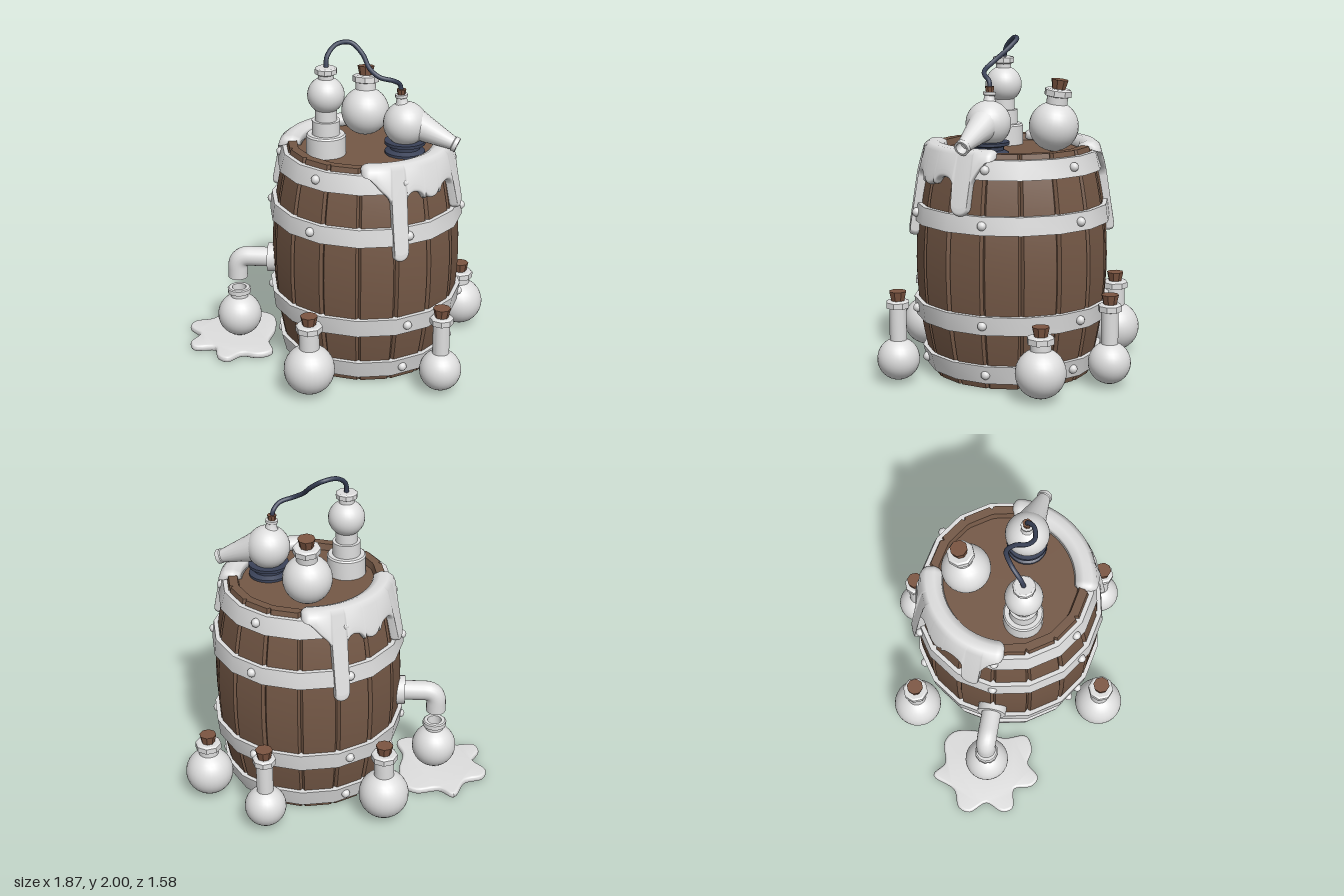
import * as THREE from 'three';
import { toCreasedNormals } from 'three/addons/utils/BufferGeometryUtils.js';

const mat = (name, color, side = THREE.FrontSide) => {
  const m = new THREE.MeshStandardMaterial({ color, side });
  m.name = name;
  return m;
};
const V2 = (p) => new THREE.Vector2(p[0], p[1]);
const V3 = (p) => new THREE.Vector3(p[0], p[1], p[2]);
const RAD = Math.PI / 180;
const STAVES = 16;
const HEIGHT = 1.37;

// Barrel radius at height y
const bulge = (y) => 0.572 - 0.1 * ((y - HEIGHT / 2) / (HEIGHT / 2)) ** 2;

// Turned shape from a bottom-to-top profile, with sharp edges kept
const turned = (points, sides) => toCreasedNormals(new THREE.LatheGeometry(points.map(V2), sides), 0.6);

// Barrel body: the sides are pinched into a groove between staves
function barrelGeometry() {
  const profile = [[0, 0.045], [0.41, 0.045], [0.42, 0]];
  for (let i = 0; i <= 14; i++) {
    const y = (HEIGHT * i) / 14;
    profile.push([bulge(y), y]);
  }
  profile.push([0.42, HEIGHT], [0.41, 1.33], [0, 1.33]);
  const geo = new THREE.LatheGeometry(profile.map(V2), STAVES * 3);
  const pos = geo.attributes.position;
  const step = (2 * Math.PI) / STAVES;
  for (let i = 0; i < pos.count; i++) {
    const column = Math.floor(i / profile.length);
    const [r0, y] = profile[i % profile.length];
    const stave = Math.floor(column / 3), k = column % 3;
    const angle = stave * step + [0, 0.07, 0.93][k] * step;
    const r = k === 0 && r0 > 0.43 ? r0 - 0.018 : r0;
    pos.setXYZ(i, r * Math.sin(angle), y, r * Math.cos(angle));
  }
  return toCreasedNormals(geo, 0.45);
}

// Lower edge of the spill at an angle in degrees
const SPILL = 97;
const DRIPS = [[24, 4.6, 0.83], [48, 6, 1.17], [76, 5.5, 1.02]];
function spillEdge(deg) {
  const base = 1.36 - 0.13 * THREE.MathUtils.smoothstep(Math.min(deg, SPILL - deg), 0, 18);
  let low = base;
  for (const [centre, half, tip] of DRIPS) {
    const a = Math.abs(deg - centre) / half;
    const y = a < 1 ? tip + 0.05 * (1 - Math.sqrt(1 - a * a)) : base - 0.06 * Math.exp((1 - a) * 2.5);
    low = Math.min(low, y);
  }
  return low;
}

// Spill over the rim: closed cross-sections swept around the barrel
function spillGeometry() {
  const columns = 130, rows = 14, verts = [], index = [];
  let n = 0;
  for (let i = 0; i <= columns; i++) {
    const deg = (SPILL * i) / columns, low = spillEdge(deg);
    const loop = [[0.39, 1.335], [0.4, 1.375], [0.44, 1.393], [0.49, 1.388], [0.52, 1.365]];
    const start = Math.min(1.33, low + 0.05);
    for (let j = 0; j <= rows; j++) {
      const t = j / rows, y = THREE.MathUtils.lerp(start, low, t);
      loop.push([bulge(y) + 0.048 * Math.sqrt(1 - t ** 6 * 0.9), y]);
    }
    loop.push([bulge(low) - 0.02, low + 0.005], [0.44, 1.33]);
    n = loop.length;
    // Round off both ends
    const d = Math.min(1, Math.min(deg, SPILL - deg) / 6);
    const e = Math.sqrt(1 - (1 - d) ** 2);
    for (const [r, y] of loop) {
      const rr = 0.45 + (r - 0.45) * e, yy = 1.36 + (y - 1.36) * e;
      verts.push(rr * Math.sin(deg * RAD), yy, rr * Math.cos(deg * RAD));
    }
  }
  for (let i = 0; i < columns; i++) {
    for (let j = 0; j < n; j++) {
      const k = (j + 1) % n;
      const a = i * n + j, b = i * n + k, c = a + n, d = b + n;
      index.push(a, b, c, b, d, c);
    }
  }
  const geo = new THREE.BufferGeometry();
  geo.setAttribute('position', new THREE.Float32BufferAttribute(verts, 3));
  geo.setIndex(index);
  geo.computeVertexNormals();
  return geo;
}

// Round flask profile: ball of radius r standing on y = 0, then a neck up to top
function flaskProfile(r, neck, top) {
  const pts = [], end = Math.acos(neck / r);
  for (let i = 0; i <= 16; i++) {
    const a = -Math.PI / 2 + ((end + Math.PI / 2) * i) / 16;
    pts.push([Math.max(0, r * Math.cos(a)), r + r * Math.sin(a)]);
  }
  pts.push([neck, top]);
  return pts;
}

export function createModel() {
  const model = new THREE.Group();
  const wood = mat('wood', 0x745846);
  const cork = mat('cork', 0x7c5541);
  const pale = mat('pale grey', 0xdedede);
  const paleOpen = mat('pale grey open', 0xdedede, THREE.DoubleSide);
  const navy = mat('dark blue', 0x3a4258);

  const add = (parent, name, geo, material, p = [0, 0, 0]) => {
    const mesh = new THREE.Mesh(geo, material);
    mesh.name = name;
    mesh.position.set(...p);
    parent.add(mesh);
    return mesh;
  };
  const group = (name, p) => {
    const g = new THREE.Group();
    g.name = name;
    g.position.set(...p);
    model.add(g);
    return g;
  };

  // Barrel with hoops and rivets
  const barrel = group('barrel', [0.195, 0, -0.015]);
  add(barrel, 'staves', barrelGeometry(), wood);
  for (const [y0, y1] of [[0.04, 0.15], [0.345, 0.455], [0.925, 1.03], [1.23, 1.34]]) {
    const a = bulge(y0), b = bulge(y1);
    add(barrel, 'hoop', turned([[a - 0.03, y0], [a + 0.028, y0], [b + 0.028, y1], [b - 0.03, y1]], STAVES), pale);
    const y = (y0 + y1) / 2, r = bulge(y) + 0.022;
    for (let i = 0; i < 6; i++) {
      const t = (30 + 60 * i) * RAD;
      add(barrel, 'rivet', new THREE.SphereGeometry(0.027, 12, 8), pale, [r * Math.sin(t), y, r * Math.cos(t)]);
    }
  }

  // Two spills on opposite sides of the rim
  const spill = spillGeometry();
  add(barrel, 'frontSpill', spill, pale);
  add(barrel, 'backSpill', spill, pale).rotation.y = Math.PI;

  // Bottles: position, ball radius, neck radius, lip top
  const bottle = (name, p, r, neck, top) => {
    const g = group(name, p);
    add(g, 'glass', turned(flaskProfile(r, neck, top - 0.04), 28), pale);
    const l = neck + 0.02;
    add(g, 'lip', turned([[neck - 0.01, top - 0.05], [l, top - 0.042], [l, top - 0.008], [l - 0.012, top], [0, top]], 8), pale);
    add(g, 'cork', turned([[0.038, top - 0.01], [0.052, top + 0.055], [0, top + 0.055]], 8), cork);
    return g;
  };
  bottle('frontBottle', [-0.085, 0.01, 0.635], 0.152, 0.06, 0.445);
  bottle('backRightBottle', [-0.3, 0.01, -0.535], 0.152, 0.06, 0.445);
  bottle('frontTallBottle', [0.685, 0.015, 0.53], 0.125, 0.05, 0.475);
  bottle('backTallBottle', [0.405, 0.015, -0.67], 0.125, 0.05, 0.475);
  bottle('shortBottle', [0.785, 0.015, -0.365], 0.146, 0.06, 0.36);
  bottle('topBottle', [0.17, 1.33, -0.245], 0.147, 0.062, 0.37).rotation.x = -0.13;

  // Spout pipe on the barrel's side
  const pipe = group('pipe', [0, 0, -0.02]);
  const bend = new THREE.CurvePath();
  bend.add(new THREE.LineCurve3(V3([-0.35, 0.577, 0]), V3([-0.53, 0.577, 0])));
  bend.add(new THREE.QuadraticBezierCurve3(V3([-0.53, 0.577, 0]), V3([-0.605, 0.577, 0]), V3([-0.605, 0.5, 0])));
  bend.add(new THREE.LineCurve3(V3([-0.605, 0.5, 0]), V3([-0.605, 0.435, 0])));
  add(pipe, 'elbow', new THREE.TubeGeometry(bend, 30, 0.061, 20), paleOpen);
  add(pipe, 'flange', turned([[0, 0], [0.09, 0], [0.09, 0.06], [0, 0.06]], 20), pale, [-0.35, 0.577, 0]).rotation.z = Math.PI / 2;

  // Open flask under the pipe
  const catcher = group('openFlask', [-0.6, 0.035, -0.02]);
  add(catcher, 'glass', turned(flaskProfile(0.138, 0.055, 0.29), 28), paleOpen);
  add(catcher, 'lip', turned([[0.05, 0.285], [0.074, 0.292], [0.074, 0.32], [0.066, 0.326], [0.045, 0.326], [0.045, 0.24]], 12), paleOpen);

  // Puddle
  const outline = [
    [-0.73, -0.35], [-0.64, -0.29], [-0.5, -0.32], [-0.42, -0.27], [-0.39, -0.1], [-0.41, 0.06], [-0.37, 0.2],
    [-0.45, 0.25], [-0.55, 0.24], [-0.63, 0.32], [-0.69, 0.29], [-0.73, 0.18], [-0.86, 0.19], [-0.89, 0.13],
    [-0.85, 0.02], [-0.93, -0.08], [-0.91, -0.15], [-0.8, -0.2]];
  const curve = new THREE.CatmullRomCurve3(outline.map(([x, z]) => V3([x, -z, 0])), true);
  const shape = new THREE.Shape(curve.getPoints(90).map((p) => new THREE.Vector2(p.x, p.y)));
  const puddle = new THREE.ExtrudeGeometry(shape, {
    depth: 0.005, bevelThickness: 0.018, bevelSize: 0.015, bevelOffset: -0.01, bevelSegments: 4 });
  puddle.rotateX(-Math.PI / 2).translate(0, 0.018, 0);
  add(model, 'puddle', toCreasedNormals(puddle, 0.7), pale);

  // Stepped column with a bulb
  const column = group('column', [-0.035, 1.325, 0.11]);
  add(column, 'steppedBase', turned([
    [0, 0], [0.118, 0], [0.118, 0.12], [0.11, 0.13], [0.084, 0.13], [0.084, 0.215], [0.065, 0.215], [0.065, 0.3], [0, 0.3]], 28), pale);
  add(column, 'bulb', turned(flaskProfile(0.11, 0.046, 0.25), 28), pale, [0, 0.258, 0]);
  add(column, 'lip', turned([[0.046, 0.49], [0.066, 0.5], [0.066, 0.528], [0.056, 0.535], [0, 0.535]], 10), pale);

  // Retort on a dark stand
  const retort = group('retort', [0.43, 1.33, 0.055]);
  add(retort, 'stand', turned([[0, 0], [0.12, 0], [0.12, 0.015], [0.09, 0.03], [0.09, 0.05], [0.122, 0.06], [0.122, 0.078], [0, 0.078]], 24), navy);
  add(retort, 'ball', new THREE.SphereGeometry(0.132, 28, 18), pale, [0, 0.183, 0]);
  const neck = add(retort, 'neck', turned([
    [0.07, -0.03], [0.036, 0.02], [0.03, 0.05], [0.038, 0.055], [0.038, 0.072], [0, 0.072]], 12), pale, [-0.02, 0.29, 0]);
  neck.rotation.z = 0.08;
  add(retort, 'cork', turned([[0.022, 0], [0.028, 0.038], [0, 0.038]], 8), cork, [-0.026, 0.355, 0]);
  const spout = add(retort, 'spout', turned([
    [0.1, 0], [0.078, 0.09], [0.04, 0.27], [0.045, 0.275], [0.045, 0.3], [0.033, 0.3], [0.03, 0.25], [0, 0.25]], 20), pale, [0.04, 0.19, 0]);
  spout.quaternion.setFromUnitVectors(V3([0, 1, 0]), V3([0.26, -0.11, 0.055]).normalize());

  // Hose from the column to the retort
  const hose = [
    [-0.035, 1.84, 0.11], [-0.03, 1.92, 0.09], [0.02, 1.977, 0.03], [0.1, 1.975, -0.015], [0.17, 1.92, 0.02],
    [0.22, 1.85, 0.09], [0.28, 1.81, 0.12], [0.36, 1.785, 0.1], [0.395, 1.75, 0.06], [0.404, 1.7, 0.055]];
  add(model, 'hose', new THREE.TubeGeometry(new THREE.CatmullRomCurve3(hose.map(V3)), 70, 0.014, 10), navy);

  return model;
}
